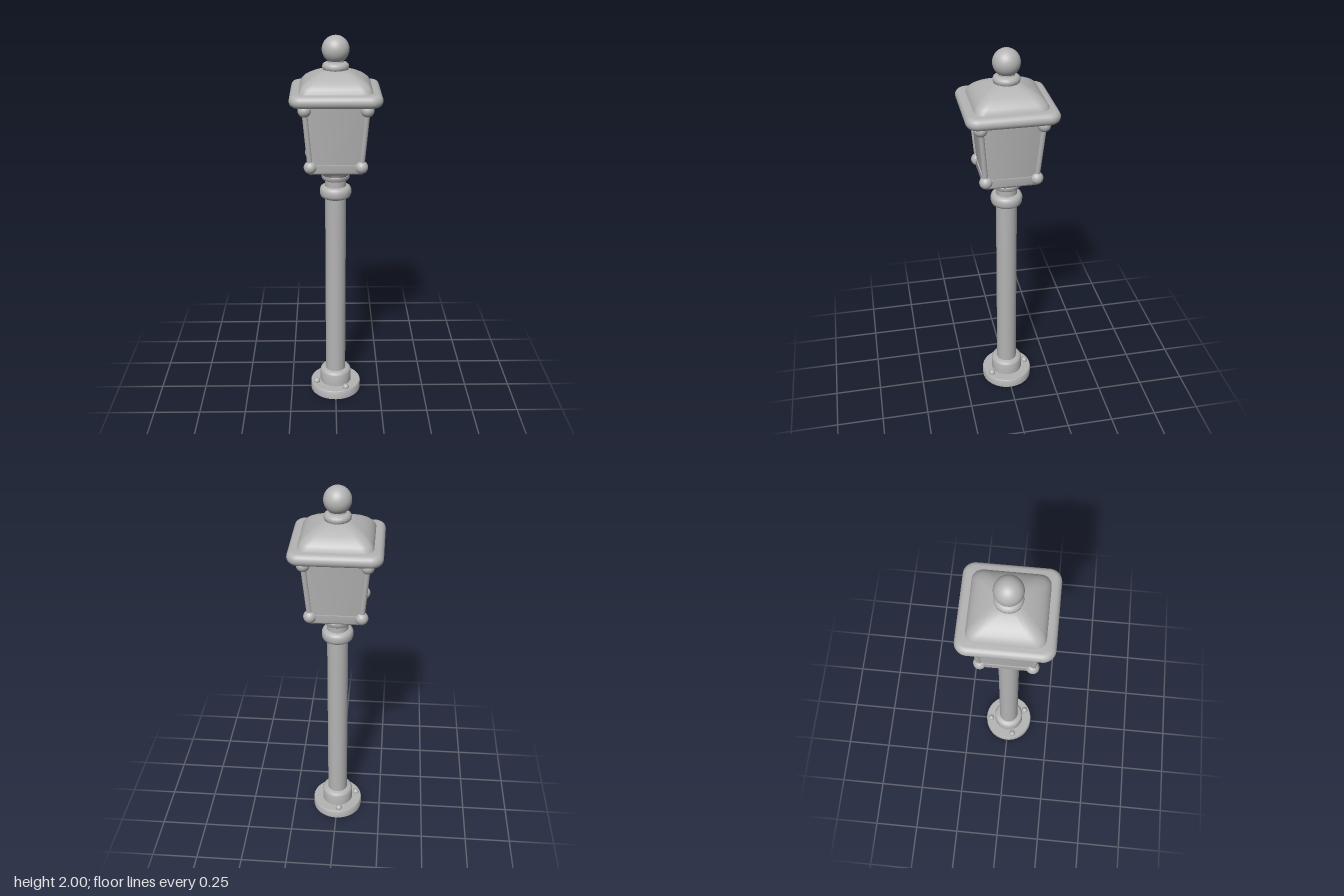
import * as THREE from 'three';
import { toCreasedNormals } from 'three/addons/utils/BufferGeometryUtils.js';

const TAU = Math.PI * 2;

// Rounded-square sections [y, half width, corner radius] joined into a closed solid
function loft(sections, steps = 6, crease = 0.6) {
  const pos = [], idx = [], n = 4 * (steps + 1);
  for (const [y, half, r] of sections) {
    for (let c = 0; c < 4; c++) {
      const mid = Math.PI / 4 + c * Math.PI / 2;
      const cx = Math.sign(Math.cos(mid)) * (half - r);
      const cz = Math.sign(Math.sin(mid)) * (half - r);
      for (let s = 0; s <= steps; s++) {
        const a = (c + s / steps) * Math.PI / 2;
        pos.push(cx + r * Math.cos(a), y, cz + r * Math.sin(a));
      }
    }
  }
  const last = sections.length - 1;
  for (let k = 0; k < last; k++) {
    for (let i = 0; i < n; i++) {
      const a = k * n + i, b = k * n + (i + 1) % n;
      idx.push(a, a + n, b, b, a + n, b + n);
    }
  }
  // End caps
  const bottom = pos.length / 3;
  pos.push(0, sections[0][0], 0, 0, sections[last][0], 0);
  for (let i = 0; i < n; i++) {
    const j = (i + 1) % n;
    idx.push(bottom, i, j, bottom + 1, last * n + j, last * n + i);
  }
  const geo = new THREE.BufferGeometry();
  geo.setAttribute('position', new THREE.Float32BufferAttribute(pos, 3));
  geo.setIndex(idx);
  return toCreasedNormals(geo, crease);
}

// Turned part from [radius, y] points, with sharp edges kept
function turned(points) {
  const pts = points.map(([r, y]) => new THREE.Vector2(r, y));
  return toCreasedNormals(new THREE.LatheGeometry(pts, 40), 0.7);
}

export function createModel() {
  const group = new THREE.Group();
  const metal = new THREE.MeshStandardMaterial({ color: 0xb4b4b4 });
  metal.name = 'grey metal';
  const add = (name, geo, x = 0, y = 0, z = 0) => {
    const mesh = new THREE.Mesh(geo, metal);
    mesh.name = name;
    mesh.position.set(x, y, z);
    group.add(mesh);
    return mesh;
  };

  // Foot, collar and pole
  add('baseDisc', turned([[0, 0], [0.14, 0], [0.14, 0.045], [0.136, 0.05], [0, 0.05]]));
  add('baseCollar', turned([[0, 0.05], [0.086, 0.05], [0.086, 0.115],
    [0.082, 0.125], [0.073, 0.131], [0, 0.131]]));
  add('pole', new THREE.CylinderGeometry(0.055, 0.055, 1.08, 40), 0, 0.66, 0);
  for (const deg of [60, 163, 262]) {
    const a = deg * Math.PI / 180;
    add('baseBolt', new THREE.SphereGeometry(0.018, 16, 10),
      0.112 * Math.cos(a), 0.055, 0.112 * Math.sin(a));
  }

  // Rings and neck below the lantern
  add('poleRing', turned([[0, 1.168], [0.066, 1.168], [0.077, 1.175], [0.082, 1.188], [0.082, 1.211],
    [0.077, 1.224], [0.066, 1.231], [0, 1.231]]));
  add('neck', turned([[0, 1.22], [0.055, 1.22], [0.055, 1.268], [0.066, 1.268], [0.073, 1.277],
    [0.073, 1.292], [0.066, 1.3], [0, 1.3]]));
  add('lanternFlare', loft([[1.29, 0.07, 0.069], [1.303, 0.073, 0.06],
    [1.315, 0.082, 0.045], [1.326, 0.098, 0.03], [1.335, 0.122, 0.02]]));

  // Tapered lantern body with bottom and top rails
  add('lanternBody', loft([[1.335, 0.132, 0.008], [1.7, 0.158, 0.008]], 2));
  add('bottomRail', loft([[1.334, 0.134, 0.008], [1.342, 0.139, 0.008],
    [1.385, 0.141, 0.008]], 2));
  add('topRail', loft([[1.667, 0.16, 0.008], [1.7, 0.162, 0.008]], 2));

  // Corner bars with a ball at each end
  for (const sx of [-1, 1]) {
    for (const sz of [-1, 1]) {
      const low = new THREE.Vector3(sx * 0.128, 1.37, sz * 0.128);
      const high = new THREE.Vector3(sx * 0.153, 1.665, sz * 0.153);
      const bar = new THREE.LineCurve3(low, high);
      add('cornerBar', new THREE.TubeGeometry(bar, 1, 0.014, 12));
      add('lowerCornerBall', new THREE.SphereGeometry(0.033, 24, 16), low.x, low.y, low.z);
      add('upperCornerBall', new THREE.SphereGeometry(0.033, 24, 16), high.x, high.y, high.z);
    }
  }

  // Rounded eave
  const eave = [];
  for (let i = 0; i <= 10; i++) {
    const a = -Math.PI / 2 + Math.PI * i / 10;
    eave.push([1.716 + 0.03 * Math.sin(a), 0.199 + 0.028 * Math.cos(a), 0.032 + 0.028 * Math.cos(a)]);
  }
  add('eave', loft(eave, 8));

  // Domed square roof
  add('roof', loft([[1.735, 0.183, 0.05], [1.752, 0.179, 0.05], [1.77, 0.169, 0.05],
    [1.787, 0.153, 0.048], [1.803, 0.13, 0.045], [1.817, 0.104, 0.042],
    [1.829, 0.077, 0.04], [1.838, 0.05, 0.035]], 8));

  // Finial
  add('finialDisc', turned([[0, 1.83], [0.058, 1.83], [0.065, 1.838], [0.067, 1.85],
    [0.064, 1.861], [0.055, 1.868], [0.041, 1.871], [0.038, 1.895], [0, 1.895]]));
  add('finialBall', new THREE.SphereGeometry(0.068, 40, 24), 0, 1.932, 0);

  return group;
}
